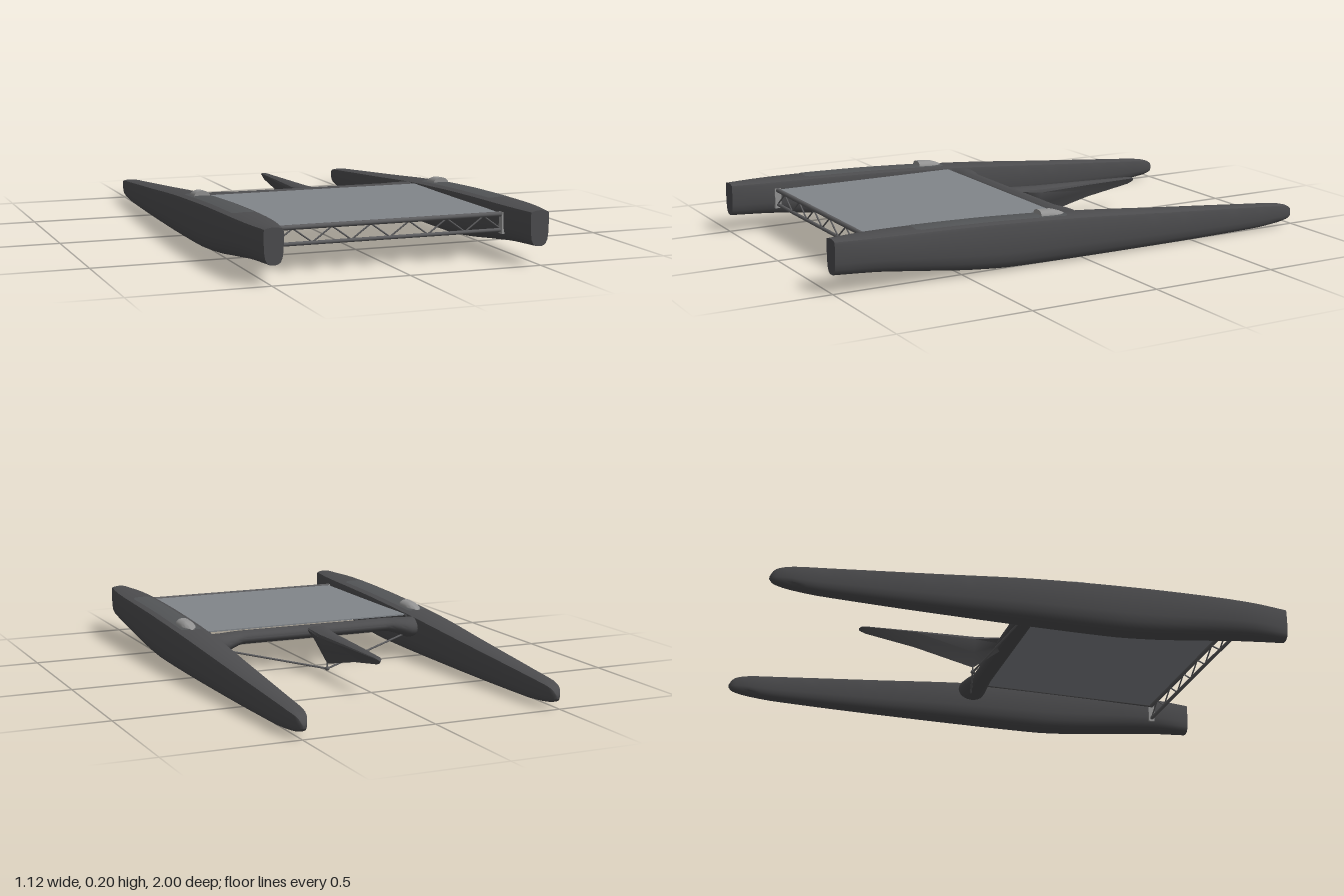
import * as THREE from 'three';
import { toCreasedNormals } from 'three/addons/utils/BufferGeometryUtils.js';

const mat = (name, color, side = THREE.FrontSide) => {
  const m = new THREE.MeshStandardMaterial({ color, side });
  m.name = name;
  return m;
};

// Smooth interpolation through a table of rows [t, a, b, c...] with t rising
function sample(table, t) {
  const n = table.length;
  let i = 0;
  while (i < n - 2 && t > table[i + 1][0]) i++;
  const p = table[i], q = table[i + 1], h = q[0] - p[0];
  const s = THREE.MathUtils.clamp((t - p[0]) / h, 0, 1);
  const slope = (k, c) => {
    if (k === 0 || k === n - 1) {
      const a = table[Math.max(k - 1, 0)], b = table[Math.min(k + 1, n - 1)];
      return (b[c] - a[c]) / (b[0] - a[0]);
    }
    const l = (table[k][c] - table[k - 1][c]) / (table[k][0] - table[k - 1][0]);
    const r = (table[k + 1][c] - table[k][c]) / (table[k + 1][0] - table[k][0]);
    return l * r <= 0 ? 0 : (2 * l * r) / (l + r);
  };
  return p.slice(1).map((v, k) => {
    const c = k + 1;
    return v * (1 + 2 * s) * (1 - s) ** 2 + h * slope(i, c) * s * (1 - s) ** 2
      + q[c] * s * s * (3 - 2 * s) + h * slope(i + 1, c) * s * s * (s - 1);
  });
}

// Skin a row of closed cross-sections and cap both ends
function loft(rings, crease = 0.7) {
  const n = rings[0].length, pos = rings.flat(2), index = [];
  for (let i = 0; i < rings.length - 1; i++) {
    for (let j = 0; j < n; j++) {
      const k = (j + 1) % n;
      const a = i * n + j, b = i * n + k, c = b + n, d = a + n;
      index.push(a, b, c, a, c, d);
    }
  }
  [0, rings.length - 1].forEach((r) => {
    const centre = pos.length / 3;
    for (let c = 0; c < 3; c++) pos.push(rings[r].reduce((s, p) => s + p[c], 0) / n);
    for (let j = 0; j < n; j++) {
      const a = r * n + j, b = r * n + ((j + 1) % n);
      index.push(centre, ...(r ? [a, b] : [b, a]));
    }
  });
  const g = new THREE.BufferGeometry();
  g.setAttribute('position', new THREE.Float32BufferAttribute(pos, 3));
  g.setIndex(index);
  return toCreasedNormals(g, crease);
}

const range = (a, b, n) => Array.from({ length: n + 1 }, (_, i) => a + ((b - a) * i) / n);

// Hull lines: z, half width, deck height, keel height
const HULL = [
  [-1, 0.003, 0.052, 0.042], [-0.99, 0.014, 0.07, 0.031], [-0.97, 0.022, 0.083, 0.024],
  [-0.92, 0.031, 0.093, 0.016], [-0.8, 0.035, 0.104, 0.007], [-0.4, 0.049, 0.138, 0.003],
  [0, 0.062, 0.172, 0.004], [0.3, 0.065, 0.189, 0.007], [0.45, 0.065, 0.195, 0.017],
  [0.7, 0.063, 0.2, 0.047], [0.85, 0.056, 0.201, 0.064], [1, 0.035, 0.2, 0.072],
];
// Right half of the hull section, keel to deck centre
const SECTION = [
  [0, 0], [0.35, 0.008], [0.68, 0.06], [0.88, 0.18], [0.97, 0.35], [1, 0.55],
  [1, 0.89], [0.95, 0.95], [0.7, 0.975], [0.35, 0.994], [0, 1],
];
const FULL = [...SECTION, ...SECTION.slice(1, -1).reverse().map(([u, v]) => [-u, v])];
const HULL_X = 0.493;

function deckHeight(x, z) {
  const [w, top, keel] = sample(HULL, z);
  return top - 0.05 * (x / w) ** 2 * (top - keel);
}

function hullGeometry() {
  const zs = [-1, -0.996, -0.99, -0.98, -0.97, -0.95, ...range(-0.92, 1, 40)];
  return loft(zs.map((z) => {
    const [w, top, keel] = sample(HULL, z);
    return FULL.map(([u, v]) => [u * w, keel + v * (top - keel), z]);
  }));
}

// Thin grip pad that follows the curved deck, with rounded corners
function padGeometry() {
  const g = new THREE.PlaneGeometry(0.082, 0.62, 8, 40).rotateX(-Math.PI / 2).translate(0, 0, 0.38);
  const p = g.attributes.position;
  for (let i = 0; i < p.count; i++) {
    const z = p.getZ(i), end = Math.min(z - 0.07, 0.69 - z);
    const x = p.getX(i) * (end < 0.015 ? 0.75 + 0.25 * Math.sqrt(Math.max(end, 0) / 0.015) : 1);
    p.setXYZ(i, x, deckHeight(x, z) + 0.002, z);
  }
  g.computeVertexNormals();
  return g;
}

// Bullet-shaped cowl, pointed forward and cut flat aft
function cowlGeometry() {
  const lines = [[0.065, 0.002, 0.001], [0.075, 0.012, 0.007], [0.1, 0.025, 0.016], [0.13, 0.03, 0.022], [0.18, 0.031, 0.022]];
  return loft(range(0.065, 0.18, 12).map((z) => {
    const [w, h] = sample(lines, z);
    return range(0, 19, 19).map((i) => {
      const a = (i / 20) * Math.PI * 2;
      return [w * Math.cos(a), deckHeight(0, z) - 0.002 + h * Math.sin(a), z];
    });
  }));
}

// Oval front beam that swells into rounded fairings at the hulls
function beamGeometry() {
  const lines = [[0, 0.02, 0.04, 0.14, 0.026], [0.31, 0.02, 0.04, 0.14, 0.026],
    [0.36, 0.01, 0.05, 0.134, 0.032], [0.41, 0.003, 0.057, 0.125, 0.04], [0.45, 0.012, 0.05, 0.127, 0.036]];
  return loft(range(-0.45, 0.45, 60).map((x) => {
    const [zc, hz, yc, hy] = sample(lines, Math.abs(x));
    return range(0, 23, 23).map((i) => {
      const a = (i / 24) * Math.PI * 2;
      return [x, yc + hy * Math.cos(a), zc + hz * Math.sin(a)];
    });
  }));
}

// Central spine with a V-shaped keel: z, half width, top, bottom
function spineGeometry() {
  const rows = [[-0.572, 0.003, 0.138, 0.131], [-0.565, 0.009, 0.144, 0.126], [-0.545, 0.014, 0.147, 0.119],
    [-0.35, 0.025, 0.153, 0.088], [-0.11, 0.038, 0.16, 0.032], [0.005, 0.045, 0.163, 0.122]];
  const shape = [[0, 0], [0.5, 0.45], [0.95, 0.84], [0.85, 0.93], [0.45, 0.985], [0, 1],
    [-0.45, 0.985], [-0.85, 0.93], [-0.95, 0.84], [-0.5, 0.45]];
  return loft(rows.map(([z, w, t, b]) => shape.map(([u, v]) => [u * w, b + v * (t - b), z])));
}

export function createModel() {
  const model = new THREE.Group();
  model.name = 'catamaran';
  const dark = mat('hull charcoal', 0x4c4c4e);
  const grip = mat('grip grey', 0x525456);
  const light = mat('fitting grey', 0x929292);
  const mesh = mat('deck net grey', 0x81858a);
  const metal = mat('spar grey', 0x5c5c5e);

  const add = (name, geometry, material, x = 0, y = 0, z = 0) => {
    const m = new THREE.Mesh(geometry, material);
    m.name = name;
    m.position.set(x, y, z);
    model.add(m);
    return m;
  };
  const rod = (name, a, b, r, material = metal) => {
    const p = new THREE.Vector3(...a), d = new THREE.Vector3(...b).sub(p);
    const m = add(name, new THREE.CylinderGeometry(r, r, d.length(), 10), material);
    m.position.copy(p).addScaledVector(d, 0.5);
    m.quaternion.setFromUnitVectors(new THREE.Vector3(0, 1, 0), d.normalize());
  };

  // Hulls with their deck fittings, net rails, truss ends and stays
  const hull = hullGeometry(), pad = padGeometry(), cowl = cowlGeometry();
  for (const [side, s] of [['left', 1], ['right', -1]]) {
    add(side + 'Hull', hull, dark, s * HULL_X);
    add(side + 'GripPad', pad, grip, s * HULL_X);
    add(side + 'Cowl', cowl, light, s * HULL_X);
    rod(side + 'NetRail', [s * 0.43, 0.16, 0.05], [s * 0.43, 0.16, 0.82], 0.005, dark);
    add(side + 'TrussEnd', new THREE.BoxGeometry(0.01, 0.08, 0.026), light, s * 0.436, 0.13, 0.82);
    rod(side + 'Stay', [s * 0.4, 0.102, -0.005], [0, 0.013, -0.11], 0.004);
  }

  // Front beam, spine and the stay joint beneath it
  add('frontBeam', beamGeometry(), dark);
  add('spine', spineGeometry(), dark);
  add('stayJoint', new THREE.SphereGeometry(0.009, 16, 12), metal, 0, 0.013, -0.11);
  rod('strut', [0, 0.013, -0.11], [0, 0.05, -0.11], 0.003);

  // Net deck
  add('netDeck', new THREE.BoxGeometry(0.86, 0.005, 0.745), mesh, 0, 0.163, 0.4375);

  // Rear truss
  rod('trussTopRail', [-0.44, 0.162, 0.82], [0.44, 0.162, 0.82], 0.009);
  rod('trussBottomRail', [-0.44, 0.104, 0.82], [0.44, 0.104, 0.82], 0.007);
  const node = (i) => [i * 0.0725, i % 2 ? 0.158 : 0.106, 0.82];
  for (let i = -6; i < 6; i++) rod('trussBrace', node(i), node(i + 1), 0.003);

  return model;
}
